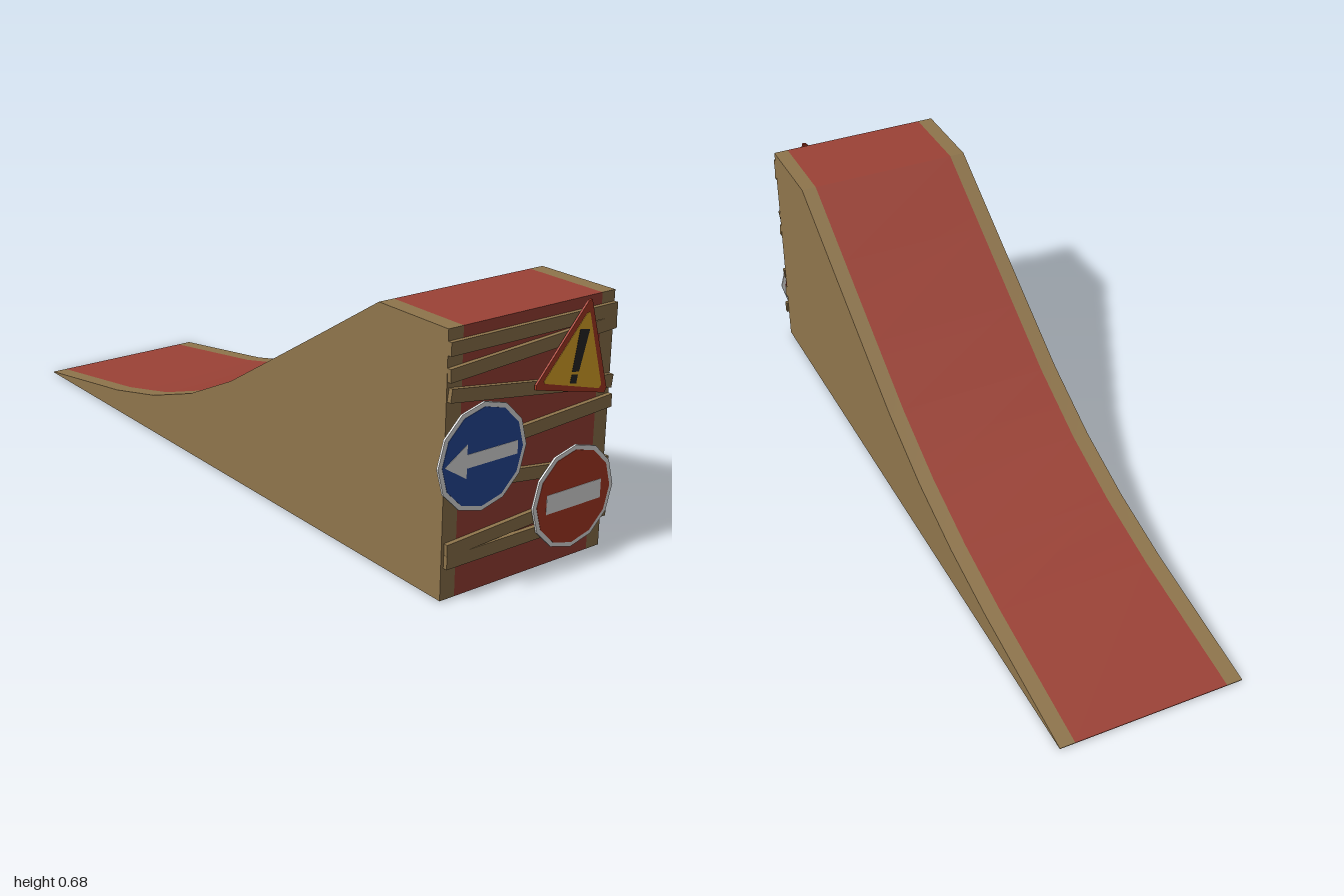
import * as THREE from 'three';
import { toCreasedNormals } from 'three/addons/utils/BufferGeometryUtils.js';

const mat = (name, color) => Object.assign(new THREE.MeshStandardMaterial({ color }), { name });

export function createModel() {
  const wood = mat('wood brown', 0x8f754c);
  const deckRed = mat('deck red', 0x9c4236);
  const white = mat('sign white', 0xe4e4e4);
  const blue = mat('sign blue', 0x274a9c);
  const signRed = mat('sign red', 0xab3925);
  const yellow = mat('sign yellow', 0xe2a928);
  const black = mat('sign black', 0x272727);

  const model = new THREE.Group();
  model.name = 'jumpRamp';

  const add = (parent, name, geometry, material) => {
    const mesh = new THREE.Mesh(geometry, material);
    mesh.name = name;
    parent.add(mesh);
    return mesh;
  };
  const toShape = (pts) => new THREE.Shape(pts.map(([x, y]) => new THREE.Vector2(x, y)));

  // Ramp side outline as [z, y]
  const base = 0.002;
  const profile = toShape([
    [0.96, base], [0.96, 0.68], [0.71, 0.68], [0.49, 0.545], [0.26, 0.405], [0.07, 0.29],
    [-0.14, 0.19], [-0.35, 0.12], [-0.57, 0.07], [-1, 0.004], [-1, base],
  ]);
  const slab = (name, x0, x1, material) => {
    const geo = new THREE.ExtrudeGeometry(profile, { depth: x1 - x0, bevelEnabled: false });
    geo.rotateY(-Math.PI / 2); // outline x becomes z, depth runs towards -x
    geo.translate(x1, 0, 0);
    add(model, name, toCreasedNormals(geo, 0.25), material);
  };
  const underside = (name, x0, x1, material) => {
    const geo = new THREE.PlaneGeometry(x1 - x0, 1.96);
    geo.rotateX(Math.PI / 2);
    geo.translate((x0 + x1) / 2, 0, -0.02);
    add(model, name, geo, material);
  };
  [
    ['rightSidePanel', -0.245, -0.2, wood, white],
    ['rampDeck', -0.2, 0.24, deckRed, deckRed],
    ['leftSidePanel', 0.24, 0.283, wood, white],
  ].forEach(([name, x0, x1, top, bottom]) => {
    slab(name, x0, x1, top);
    underside(name + 'Underside', x0, x1, bottom);
  });

  // Crooked planks across the front: start and end of the centre line
  const planks = new THREE.Group();
  planks.name = 'frontPlanks';
  model.add(planks);
  [
    [-0.245, 0.634, 0.283, 0.634],
    [-0.244, 0.57, 0.283, 0.602],
    [-0.24, 0.522, 0.282, 0.449],
    [-0.242, 0.367, 0.284, 0.398],
    [-0.24, 0.303, 0.285, 0.232],
    [-0.237, 0.133, 0.283, 0.163],
    [-0.237, 0.103, 0.289, 0.103],
  ].forEach(([x0, y0, x1, y1], i) => {
    const length = Math.hypot(x1 - x0, y1 - y0);
    const plank = add(planks, 'plank' + (i + 1), new THREE.BoxGeometry(length, 0.034, 0.013), wood);
    plank.position.set((x0 + x1) / 2, (y0 + y1) / 2, 0.9655);
    plank.rotation.z = Math.atan2(y1 - y0, x1 - x0);
  });

  // Signs: stacked plates centred on one plane, so both faces are painted
  const sign = (name, x, y, z) => {
    const group = new THREE.Group();
    group.name = name;
    group.position.set(x, y, z);
    model.add(group);
    return group;
  };
  const plate = (parent, name, pts, thickness, material) => {
    const geo = new THREE.ExtrudeGeometry(toShape(pts), { depth: thickness, bevelEnabled: false });
    geo.translate(0, 0, -thickness / 2);
    return add(parent, name, geo, material);
  };
  const ngon = (r, n = 12) => Array.from({ length: n }, (_, i) => {
    const a = (i / n) * Math.PI * 2;
    return [r * Math.cos(a), r * Math.sin(a)];
  });

  // Blue arrow sign
  const arrowSign = sign('arrowSign', -0.16, 0.364, 0.9945);
  plate(arrowSign, 'arrowSignRim', ngon(0.136), 0.006, white);
  plate(arrowSign, 'arrowSignFace', ngon(0.124), 0.008, blue);
  plate(arrowSign, 'arrow', [
    [-0.117, 0], [-0.05, -0.043], [-0.05, -0.017], [0.107, -0.017],
    [0.107, 0.017], [-0.05, 0.017], [-0.05, 0.043],
  ], 0.0095, white);

  // Red bar sign
  const barSign = sign('barSign', 0.158, 0.177, 0.981);
  plate(barSign, 'barSignRim', ngon(0.136), 0.006, white);
  plate(barSign, 'barSignFace', ngon(0.124), 0.008, signRed);
  plate(barSign, 'bar', [[-0.092, -0.026], [0.092, -0.026], [0.092, 0.025], [-0.092, 0.025]], 0.0095, white);

  // Tilted warning triangle with clipped corners
  const warning = sign('warningSign', 0, 0, 0.98);
  plate(warning, 'warningRim', [
    [0.172, 0.677], [0.183, 0.679], [0.25, 0.443], [0.244, 0.43], [0.013, 0.485], [0.013, 0.497],
  ], 0.006, signRed);
  plate(warning, 'warningFace', [
    [0.167, 0.647], [0.177, 0.649], [0.23, 0.455], [0.223, 0.446], [0.039, 0.496], [0.037, 0.503],
  ], 0.008, yellow);
  plate(warning, 'warningStroke', [[0.147, 0.612], [0.179, 0.605], [0.15, 0.504], [0.127, 0.508]], 0.0095, black);
  plate(warning, 'warningDot', [[0.127, 0.501], [0.147, 0.497], [0.143, 0.475], [0.122, 0.48]], 0.0095, black);

  return model;
}
